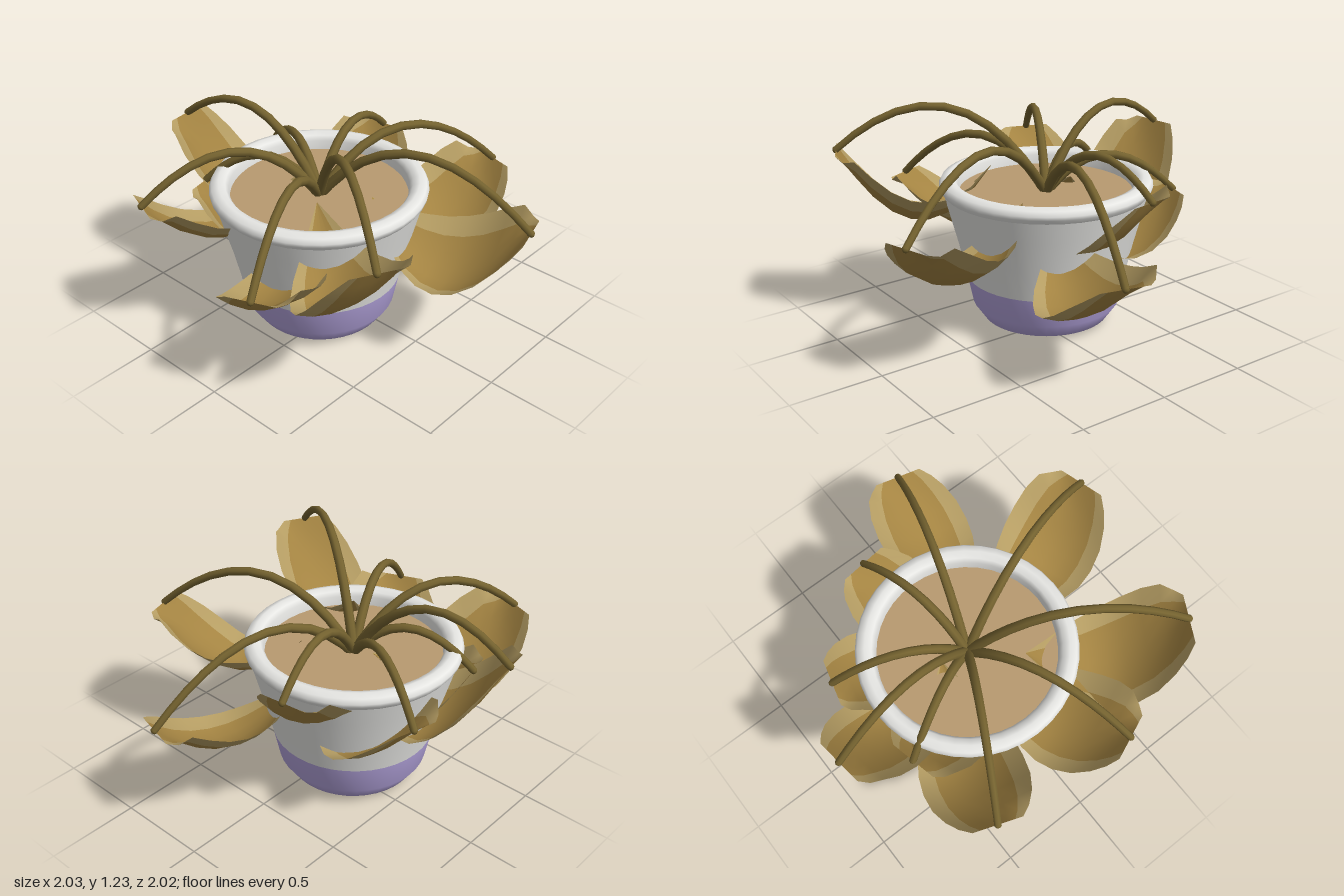
import * as THREE from 'three';

const mat = (name, color, side = THREE.FrontSide) => {
  const m = new THREE.MeshStandardMaterial({ color, side });
  m.name = name;
  return m;
};

// Pot centre on the ground plane
const CX = -0.103, CZ = -0.1;

// Each stalk: tip [x, y, z], arch height, inner end of its leaf [x, y, z], sag of the leaf
const STALKS = [
  { tip: [-0.23, 0.96, -0.98], top: 1.12, end: [-0.13, 0.72, -0.18], sag: 0.36 },
  { tip: [0.20, 0.70, -0.75], top: 0.92, end: [0.0, 0.66, 0.0], sag: 0.26 },
  { tip: [0.59, 0.83, -0.25], top: 1.0, end: [-0.18, 0.70, -0.16], sag: 0.29 },
  { tip: [0.98, 0.63, 0.25], top: 1.0, end: [0.15, 0.62, 0.04], sag: 0.265 },
  { tip: [0.27, 0.77, 0.98], top: 1.08, end: [0.03, 0.75, 0.15], sag: 0.32 },
  { tip: [-0.72, 0.98, 0.83], top: 1.2, end: [-0.33, 0.86, 0.1], sag: 0.37 },
  { tip: [-0.97, 0.69, 0.28], top: 0.99, end: [-0.2, 0.66, -0.04], sag: 0.26 },
  { tip: [-0.92, 0.84, -0.55], top: 1.06, end: [-0.08, 0.79, -0.25], sag: 0.3 },
  { tip: [-0.39, 0.72, -0.67], top: 0.92, end: [-0.22, 0.66, 0.08], sag: 0.33 },
];

// Half width along the leaf, from the blunt outer end to the inner point
const WIDTHS = [[0, 0.13], [0.05, 0.18], [0.12, 0.222], [0.22, 0.255], [0.34, 0.265],
  [0.46, 0.256], [0.58, 0.228], [0.7, 0.185], [0.85, 0.1], [1, 0.002]];
const COLUMNS = [-1, -0.68, -0.34, 0, 0.34, 0.68, 1];

// Cupped leaf sagging between its tip and inner end, tilted to one side
function leafGeometry({ tip, end, sag }) {
  const a = new THREE.Vector3(...tip), b = new THREE.Vector3(...end);
  const out = a.clone().sub(b).setY(0).normalize();
  const side = new THREE.Vector3(out.z, 0, -out.x);
  const pos = [], blade = [], margin = [];
  const n = COLUMNS.length;
  WIDTHS.forEach(([s, w], i) => {
    const spine = a.clone().lerp(b, s);
    spine.y -= sag * 4 * s * (1 - s);
    // The lower side spreads a little further towards the pot
    spine.addScaledVector(side, -0.03 * Math.sin(Math.PI * s));
    COLUMNS.forEach((u, j) => {
      const p = spine.clone().addScaledVector(side, u * w);
      p.y += (0.11 * u * u + 0.09 * u) * Math.min(1, s * 8) * (w / 0.265);
      pos.push(p.x, p.y, p.z);
      if (i && j) {
        const k = i * n + j;
        const list = j === 1 || j === n - 1 ? margin : blade;
        list.push(k - 1, k - n - 1, k - n, k - 1, k - n, k);
      }
    });
  });
  const g = new THREE.BufferGeometry();
  g.setAttribute('position', new THREE.Float32BufferAttribute(pos, 3));
  g.setIndex([...blade, ...margin]);
  g.addGroup(0, blade.length, 0);
  g.addGroup(blade.length, margin.length, 1);
  g.computeVertexNormals();
  return g;
}

// Arched stem from the middle of the soil to the leaf tip, thicker at its foot
function stemGeometry({ tip, top }) {
  const end = new THREE.Vector3(...tip);
  const centre = new THREE.Vector3(CX, 0.7, CZ);
  const dir = end.clone().sub(centre).setY(0).normalize();
  const base = centre.addScaledVector(dir, -0.015);
  const ctrl = base.clone().lerp(end, 0.42);
  ctrl.y = 2 * top - (base.y + end.y) / 2;
  const curve = new THREE.QuadraticBezierCurve3(base, ctrl, end);
  const rings = 11, sides = 8;
  const g = new THREE.TubeGeometry(curve, rings, 0.021, sides);
  const p = g.attributes.position, v = new THREE.Vector3();
  for (let i = 0; i < p.count; i++) {
    const t = Math.floor(i / (sides + 1)) / rings;
    const c = curve.getPointAt(t);
    v.fromBufferAttribute(p, i).sub(c).multiplyScalar(1.3 - 0.38 * t).add(c);
    p.setXYZ(i, v.x, v.y, v.z);
  }
  return g;
}

export function createModel() {
  const white = mat('potWhite', 0xe6e6e3);
  const lilac = mat('potLilac', 0xb3a3dc);
  const soilMat = mat('soilBrown', 0xb89a70);
  const stemMat = mat('stemOlive', 0x74622f, THREE.DoubleSide);
  const leafMat = mat('leafOchre', 0xa48442, THREE.DoubleSide);
  const marginMat = mat('leafMargin', 0xb59d63, THREE.DoubleSide);

  const model = new THREE.Group();
  model.name = 'pottedPlant';
  const add = (name, geo, material, parent) => {
    const m = new THREE.Mesh(geo, material);
    m.name = name;
    parent.add(m);
    return m;
  };

  // Pot
  const pot = new THREE.Group();
  pot.name = 'pot';
  pot.position.set(CX, 0, CZ);
  model.add(pot);
  const lathe = (pts) => new THREE.LatheGeometry(pts.map(([r, y]) => new THREE.Vector2(r, y)), 40);
  add('potBase', lathe([[0, 0], [0.26, 0], [0.35, 0.03], [0.405, 0.11], [0.438, 0.27]]), lilac, pot);
  add('potWall', lathe([[0.438, 0.27], [0.478, 0.45], [0.525, 0.63], [0.555, 0.745]]), white, pot);
  add('potRim', lathe([[0.555, 0.745], [0.574, 0.77], [0.578, 0.79], [0.564, 0.815], [0.527, 0.828],
    [0.492, 0.815], [0.475, 0.79], [0.47, 0.72]]), white, pot);
  const soil = add('soil', new THREE.CircleGeometry(0.475, 40), soilMat, pot);
  soil.rotation.x = -Math.PI / 2;
  soil.position.y = 0.74;

  // Drooping stalks
  STALKS.forEach((s, i) => {
    const stalk = new THREE.Group();
    stalk.name = `stalk${i + 1}`;
    model.add(stalk);
    add('stem', stemGeometry(s), stemMat, stalk);
    add('leaf', leafGeometry(s), [leafMat, marginMat], stalk);
    add('stemTip', new THREE.SphereGeometry(0.019, 8, 6), stemMat, stalk).position.set(...s.tip);
  });
  return model;
}
